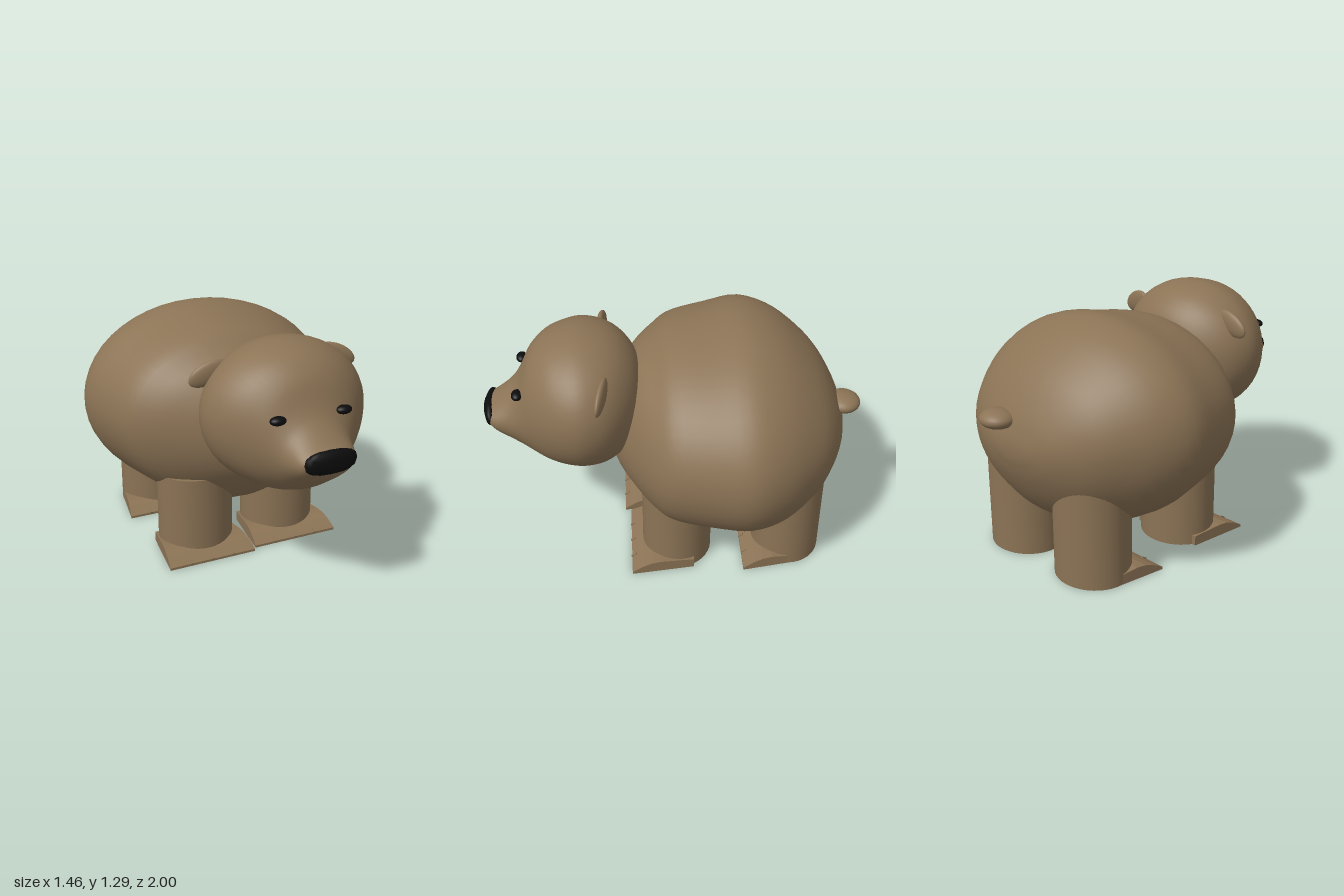
import * as THREE from 'three';

const fur = new THREE.MeshStandardMaterial({ color: 0x8b7355 });
const black = new THREE.MeshStandardMaterial({ color: 0x0c0c0c });

function add(parent, name, geometry, material = fur) {
  const mesh = new THREE.Mesh(geometry, material);
  mesh.name = name;
  parent.add(mesh);
  return mesh;
}

// Closed loft along z. Each section is [z, top, widest height, bottom, half width].
// skew leans the cross-sections sideways; power squares them off.
function loft(sections, { rings = 40, sides = 48, cx = 0, skew = 0, power = 1 } = {}) {
  const spline = (pick) => new THREE.CatmullRomCurve3(sections.map(pick), false, 'catmullrom');
  const heights = spline(([z, top, , bottom]) => new THREE.Vector3(z, top, bottom));
  const widths = spline(([, , mid, , rx]) => new THREE.Vector3(mid, rx, 0));
  const bend = (v) => Math.sign(v) * Math.abs(v) ** power;
  const pos = [], index = [];
  for (let i = 0; i <= rings; i++) {
    const h = heights.getPoint(i / rings), w = widths.getPoint(i / rings);
    for (let j = 0; j < sides; j++) {
      const a = (j / sides) * Math.PI * 2;
      const s = bend(Math.sin(a));
      const dy = s * (s > 0 ? h.y - w.x : w.x - h.z);
      pos.push(cx + w.y * bend(Math.cos(a)) + skew * dy, w.x + dy, h.x);
    }
  }
  for (let i = 0; i < rings; i++) {
    for (let j = 0; j < sides; j++) {
      const a = i * sides + j, b = i * sides + (j + 1) % sides;
      index.push(a, a + sides, b, b, a + sides, b + sides);
    }
  }
  // End caps
  for (const [ring, flip] of [[0, false], [rings, true]]) {
    const s = sections[flip ? sections.length - 1 : 0];
    const c = pos.length / 3;
    pos.push(cx, s[2], s[0]);
    for (let j = 0; j < sides; j++) {
      const a = ring * sides + j, b = ring * sides + (j + 1) % sides;
      if (flip) index.push(c, b, a); else index.push(c, a, b);
    }
  }
  // Sections run from front (+z) to back
  const g = new THREE.BufferGeometry();
  g.setAttribute('position', new THREE.Float32BufferAttribute(pos, 3));
  g.setIndex(index);
  g.computeVertexNormals();
  return g;
}

function ellipsoid(parent, name, [x, y, z], [rx, ry, rz], material) {
  const mesh = add(parent, name, new THREE.SphereGeometry(1, 28, 18), material);
  mesh.position.set(x, y, z);
  mesh.scale.set(rx, ry, rz);
  return mesh;
}

// Wedge foot: side profile extruded across x, narrowing towards the heel
function footGeometry(length) {
  const profile = new THREE.Shape([
    [0, 0.005], [0, 0.018], [-0.03, 0.035], [-0.065, 0.052], [-0.11, 0.066],
    [-0.16, 0.07], [-length, 0.06], [-length, 0.005],
  ].map(([z, y]) => new THREE.Vector2(-z, y)));
  const g = new THREE.ExtrudeGeometry(profile, { depth: 0.5, bevelEnabled: false });
  g.rotateY(Math.PI / 2);
  g.translate(-0.25, 0, 0);
  const p = g.attributes.position;
  for (let i = 0; i < p.count; i++) {
    p.setX(i, p.getX(i) * (1 + 0.16 * p.getZ(i) / length));
  }
  g.computeVertexNormals();
  return g;
}

function makeLeg(name, x, z, height, footLength) {
  const leg = new THREE.Group();
  leg.name = name;
  const shaft = add(leg, 'legShaft', new THREE.CylinderGeometry(1, 1, height, 40));
  shaft.scale.set(0.209, 1, 0.19);
  shaft.position.y = height / 2 + 0.005;
  const foot = add(leg, 'foot', footGeometry(footLength));
  foot.position.z = 0.255;
  // Small ridges between the toes
  for (const tx of [-0.125, 0, 0.125]) {
    const ridge = add(leg, 'toeRidge', new THREE.BoxGeometry(0.012, 0.014, 0.03));
    ridge.position.set(tx, 0.022, 0.243);
    ridge.rotation.x = 0.5;
  }
  leg.position.set(x, 0, z);
  return leg;
}

export function createModel() {
  const bear = new THREE.Group();
  bear.name = 'bear';

  add(bear, 'body', loft([
    [0.34, 0.80, 0.70, 0.60, 0.08],
    [0.30, 0.95, 0.70, 0.48, 0.25],
    [0.20, 1.08, 0.71, 0.36, 0.43],
    [0.10, 1.15, 0.72, 0.27, 0.565],
    [0.00, 1.21, 0.73, 0.22, 0.64],
    [-0.20, 1.25, 0.73, 0.19, 0.70],
    [-0.38, 1.28, 0.73, 0.18, 0.73],
    [-0.55, 1.23, 0.73, 0.20, 0.665],
    [-0.70, 1.12, 0.73, 0.28, 0.545],
    [-0.80, 1.01, 0.72, 0.39, 0.43],
    [-0.88, 0.87, 0.71, 0.53, 0.27],
    [-0.92, 0.75, 0.70, 0.65, 0.10],
  ], { skew: -0.1 }));

  const head = new THREE.Group();
  head.name = 'head';
  bear.add(head);
  const hx = 0.045;
  add(head, 'skull', loft([
    [0.975, 0.885, 0.83, 0.78, 0.125],
    [0.93, 0.91, 0.82, 0.725, 0.155],
    [0.85, 0.98, 0.82, 0.665, 0.185],
    [0.80, 1.05, 0.85, 0.63, 0.22],
    [0.74, 1.17, 0.89, 0.595, 0.28],
    [0.66, 1.245, 0.92, 0.56, 0.355],
    [0.57, 1.28, 0.93, 0.543, 0.41],
    [0.47, 1.295, 0.93, 0.54, 0.435],
    [0.36, 1.275, 0.93, 0.555, 0.405],
    [0.27, 1.225, 0.93, 0.61, 0.33],
    [0.20, 1.14, 0.93, 0.71, 0.22],
    [0.17, 1.03, 0.93, 0.84, 0.09],
  ], { cx: hx, rings: 44 }));

  // Blunt octagonal nose
  const nose = add(head, 'nose', loft([
    [1.0, 0.865, 0.835, 0.81, 0.05],
    [0.985, 0.887, 0.835, 0.785, 0.11],
    [0.965, 0.897, 0.835, 0.773, 0.139],
    [0.94, 0.885, 0.835, 0.785, 0.125],
  ], { cx: hx, rings: 6, sides: 16, power: 0.8 }), black);
  nose.geometry.computeBoundingSphere();

  for (const side of [-1, 1]) {
    const label = side > 0 ? 'left' : 'right';
    ellipsoid(head, label + 'Eye', [hx - 0.02 + side * 0.175, 1.01, 0.803], [0.042, 0.022, 0.03], black);
    const ear = ellipsoid(head, label + 'Ear', [hx + side * 0.355, 1.125, 0.37], [0.11, 0.058, 0.024]);
    ear.rotation.set(0, side > 0 ? -0.25 : -0.1, -side * 0.4);
  }

  ellipsoid(bear, 'tail', [0.095, 0.833, -0.91], [0.095, 0.048, 0.09]);

  bear.add(
    makeLeg('frontRightLeg', -0.252, 0.02, 0.46, 0.34),
    makeLeg('frontLeftLeg', 0.265, -0.01, 0.46, 0.34),
    makeLeg('hindRightLeg', -0.252, -0.62, 0.58, 0.25),
    makeLeg('hindLeftLeg', 0.265, -0.62, 0.58, 0.25),
  );
  return bear;
}
